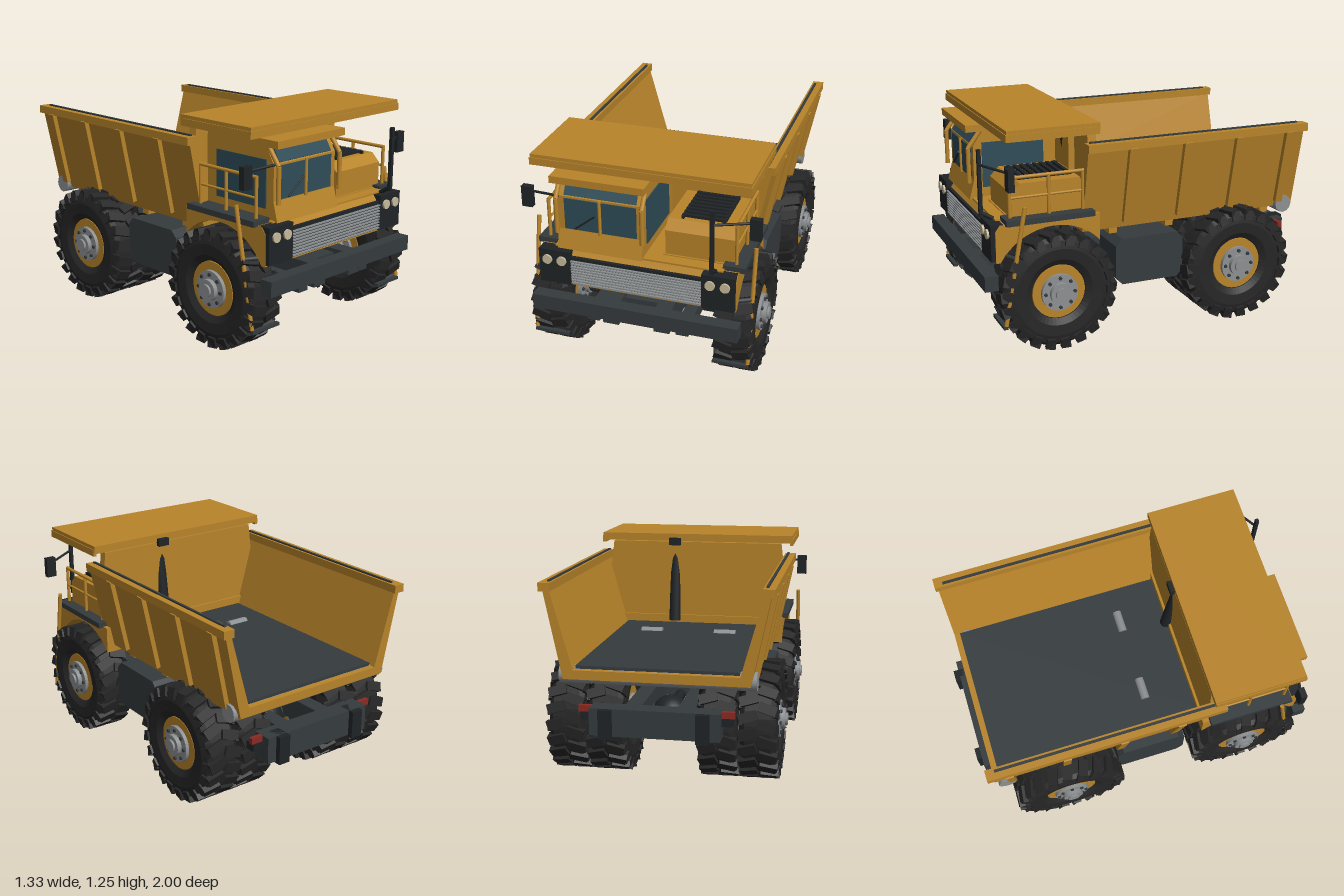
import * as THREE from 'three';
import { mergeGeometries } from 'three/addons/utils/BufferGeometryUtils.js';

const mat = (color, flatShading = false) => new THREE.MeshStandardMaterial({ color, flatShading });
const GOLD = mat(0xb8842a), DARK = mat(0x353b3e), BLACK = mat(0x202426), RUBBER = mat(0x262626, true),
  GLASS = mat(0x2f4c57), STEEL = mat(0x8d9092), LAMP = mat(0xc8bb9c), RED = mat(0x8a2a22);

export function createModel() {
  const root = new THREE.Group();
  const add = (name, geo, m, x = 0, y = 0, z = 0, parent = root) => {
    const mesh = new THREE.Mesh(geo, m);
    mesh.name = name;
    mesh.position.set(x, y, z);
    parent.add(mesh);
    return mesh;
  };
  // Box given by its limits on each axis
  const box = (name, m, x0, x1, y0, y1, z0, z1) =>
    add(name, new THREE.BoxGeometry(x1 - x0, y1 - y0, z1 - z0), m, (x0 + x1) / 2, (y0 + y1) / 2, (z0 + z1) / 2);
  // The same box on both sides
  const pair = (name, m, x0, x1, ...r) => { box(name, m, x0, x1, ...r); box(name, m, -x1, -x0, ...r); };
  // Round bar between two points
  const bar = (name, m, a, b, r, r2 = r) => {
    const p = new THREE.Vector3(...a), q = new THREE.Vector3(...b), d = q.clone().sub(p);
    const mesh = add(name, new THREE.CylinderGeometry(r2, r, d.length(), 12), m, ...p.clone().add(q).multiplyScalar(0.5));
    mesh.quaternion.setFromUnitVectors(new THREE.Vector3(0, 1, 0), d.normalize());
  };
  const outline = pts => new THREE.Shape(pts.map(p => new THREE.Vector2(...p)));
  // Side profile in [z, y] extruded from x0 to x1
  const profile = (name, m, shape, x0, x1) => {
    const geo = new THREE.ExtrudeGeometry(shape, { depth: x1 - x0, bevelEnabled: false, curveSegments: 20 });
    add(name, geo.rotateY(-Math.PI / 2), m, x1);
  };

  // Wheels: carcass, two staggered rows of slanted lugs, rim and hub
  const tyre = new THREE.LatheGeometry([[.155, .08], [.155, -.08], [.19, -.1], [.25, -.104], [.295, -.095], [.315, -.07],
    [.315, .07], [.295, .095], [.25, .104], [.19, .1], [.155, .08]].map(p => new THREE.Vector2(...p)), 48).rotateZ(-Math.PI / 2);
  const lugs = [];
  for (let i = 0; i < 22; i++) for (const s of [-1, 1]) {
    const a = (i + (s > 0 ? .5 : 0)) / 22 * Math.PI * 2;
    lugs.push(new THREE.BoxGeometry(.1, .034, .054).rotateY(s * .3).translate(s * .052, .315, 0).rotateX(a));
    lugs.push(new THREE.BoxGeometry(.016, .055, .05).rotateZ(s * .25).translate(s * .098, .295, -.018).rotateX(a));
  }
  const tread = mergeGeometries(lugs);
  const disc = (r, w, n = 32) => new THREE.CylinderGeometry(r, r, w, n).rotateZ(Math.PI / 2);
  const wheel = (x, z) => {
    const g = new THREE.Group();
    g.name = 'wheel';
    g.position.set(x, .337, z);
    root.add(g);
    add('tyre', tyre, RUBBER, 0, 0, 0, g);
    add('tread', tread, RUBBER, 0, 0, 0, g);
    add('rim', disc(.151, .16), GOLD, 0, 0, 0, g);
    add('hub', disc(.104, .2), STEEL, 0, 0, 0, g);
    add('hubFlange', disc(.06, .25), STEEL, 0, 0, 0, g);
    add('hubCap', disc(.035, .275), STEEL, 0, 0, 0, g);
    for (let i = 0; i < 8; i++) {
      const a = i * Math.PI / 4;
      add('wheelBolt', disc(.01, .22, 6), DARK, 0, Math.cos(a) * .084, Math.sin(a) * .084, g);
    }
  };
  for (const s of [-1, 1]) {
    wheel(s * .525, .595);
    wheel(s * .525, -.505);
    wheel(s * .307, -.505);
  }

  // Chassis
  pair('frameRail', DARK, .1, .19, .33, .46, -.94, .95);
  for (const z of [-.15, .2, .8]) box('crossMember', DARK, -.19, .19, .35, .44, z - .04, z + .04);
  box('frontBumper', DARK, -.58, .58, .385, .47, .925, 1);
  box('rearBeam', DARK, -.35, .35, .33, .48, -.97, -.86);
  pair('towLug', BLACK, .225, .295, .32, .48, -1, -.9);
  pair('tailLamp', RED, .35, .42, .445, .48, -.92, -.895);
  pair('tailLampBracket', BLACK, .34, .41, .4, .445, -.92, -.86);
  pair('axleMount', DARK, .22, .29, .32, .39, .5, .93);
  for (const z of [.595, -.505]) {
    bar('axle', DARK, [-.42, .337, z], [.42, .337, z], .05);
    add('differential', new THREE.SphereGeometry(.105, 20, 14), BLACK, 0, .335, z);
    bar('driveShaft', BLACK, [0, .36, z], [0, .36, .05], .03);
  }
  const tank = outline([[.19, .29], [.23, .33], [.23, .52], [.19, .56], [-.15, .56], [-.185, .52], [-.185, .33], [-.15, .29]]);
  for (const s of [-1, 1]) {
    profile('sideTank', DARK, tank, s * .42 - .12, s * .42 + .12);
    bar('suspensionStrut', STEEL, [s * .385, .34, .62], [s * .36, .58, .62], .022);
    bar('liftCylinder', GOLD, [s * .23, .36, -.01], [s * .23, .66, .085], .045);
    bar('liftPin', STEEL, [s * .16, .68, .06], [s * .29, .68, .06], .027);
  }
  pair('tankBracket', DARK, .15, .35, .38, .46, -.1, .14);

  // Dump bed: trough section, floor, rims and ribs
  const trough = outline([[-.5, .62], [.5, .62], [.6, 1.1], [.565, 1.1], [.445, .67], [-.445, .67], [-.565, 1.1], [-.6, 1.1]]);
  add('bedTrough', new THREE.ExtrudeGeometry(trough, { depth: 1.34, bevelEnabled: false }), GOLD, 0, 0, -.925);
  box('bedFloor', DARK, -.44, .44, .665, .688, -.89, .345);
  const lean = Math.atan2(.1, .48);
  for (const s of [-1, 1]) {
    box('bedRim', GOLD, s * .587 - .032, s * .587 + .032, 1.09, 1.135, -.94, .42);
    box('rimSeal', DARK, s * .575 - .007, s * .575 + .007, 1.13, 1.143, -.89, .4);
    for (const z of [.16, -.17, -.495, -.82])
      add('bedRib', new THREE.BoxGeometry(.045, .45, .045), GOLD, s * .558, .877, z).rotation.z = -s * lean;
  }
  for (const z of [.21, -.14, -.45, -.77]) box('bedCrossBeam', GOLD, -.45, .45, .57, .63, z - .025, z + .025);
  const head = outline([[-.5, .64], [.5, .64], [.56, .95], [.53, 1.2], [-.53, 1.2], [-.56, .95]]);
  add('bedHeadWall', new THREE.ExtrudeGeometry(head, { depth: .05, bevelEnabled: false }), GOLD, 0, 0, .345);
  box('canopy', GOLD, -.6, .6, 1.205, 1.25, .345, .865);
  box('canopyLip', GOLD, -.605, .605, 1.19, 1.23, .845, .87);
  pair('canopyEdge', GOLD, .585, .605, 1.19, 1.23, .35, .86);
  bar('rearTube', STEEL, [-.53, .635, -.855], [.53, .635, -.855], .052);
  bar('exhaustStack', BLACK, [.135, .7, .325], [.135, 1.2, .385], .036, .03);
  box('exhaustOutlet', BLACK, .1, .17, 1.18, 1.225, .32, .37);

  // Front body with wheel arches, deck and grille
  const body = new THREE.Shape();
  body.moveTo(.33, .58).lineTo(.33, .735).lineTo(.9, .735).lineTo(.925, .7).lineTo(.925, .525).lineTo(.9, .525);
  body.absarc(.595, .34, .357, .546, Math.PI - .74, false);
  profile('frontBody', GOLD, body, -.55, .55);
  pair('sideDeck', DARK, .46, .58, .73, .762, .37, .87);
  box('hoodDeck', GOLD, -.47, .47, .72, .745, .37, .9);
  box('grilleBack', BLACK, -.37, .37, .54, .705, .9, .94);
  for (let i = 0; i < 9; i++) box('grilleSlat', STEEL, -.365, .365, .547 + i * .0165, .555 + i * .0165, .935, .952);
  for (const s of [-1, 1]) {
    box('lampHousing', BLACK, s * .457 - .09, s * .457 + .09, .535, .737, .88, .95);
    for (const x of [.415, .497])
      add('headlamp', new THREE.CylinderGeometry(.027, .027, .02, 20).rotateX(Math.PI / 2), LAMP, s * x, .68, .952);
  }

  // Cab
  profile('cabShell', GOLD, outline([[.38, .735], [.915, .735], [.885, .845], [.885, 1.04], [.83, 1.13], [.38, 1.13]]), -.45, .03);
  box('cabRoof', GOLD, -.47, .055, 1.13, 1.17, .42, .93);
  for (const [a, b] of [[-.41, -.218], [-.2, -.005]]) box('windscreen', GLASS, a, b, .85, 1.03, .88, .89);
  add('upperWindscreen', new THREE.BoxGeometry(.405, .085, .01), GLASS, -.2075, 1.083, .861).rotation.x = -.55;
  for (const x of [-.45, .03]) {
    box('sideWindow', GLASS, x - .006, x + .006, .8, 1.06, .47, .835);
    bar('cabPillar', GOLD, [x + .005, .835, .915], [x + .005, 1.035, .915], .013);
    bar('cabPillar', GOLD, [x + .005, 1.035, .915], [x + .005, 1.135, .84], .013);
  }
  bar('windscreenPost', GOLD, [-.209, .84, .893], [-.209, 1.04, .893], .009);
  bar('wiper', BLACK, [-.35, .86, .9], [-.235, .95, .9], .005);

  // Engine box with vent slats and intake pipe
  profile('engineBox', GOLD, outline([[.42, .74], [.82, .74], [.82, .89], [.77, .94], [.43, .94], [.41, .9]]), .13, .51);
  box('engineBoxSill', GOLD, .12, .515, .735, .75, .4, .83);
  for (let i = 0; i < 8; i++) box('ventSlat', BLACK, .2, .44, .945, .96, .46 + i * .038, .48 + i * .038);
  for (const x of [.2, .425]) box('ventFrame', BLACK, x, x + .015, .94, .956, .45, .76);
  box('intakePipe', GOLD, .3, .34, .93, 1.15, .39, .43);
  box('frontPost', BLACK, .417, .438, .76, 1.125, .955, .975);
  bar('postBracket', BLACK, [.428, .78, .965], [.428, .74, .9], .012);

  // Mirrors, handrails and ladders on both sides
  for (const s of [-1, 1]) {
    box('mirror', BLACK, s * .63 - .03, s * .63 + .03, .94, 1.06, .845, .88);
    bar('mirrorArm', BLACK, [s * .61, 1.03, .86], [s * .435, 1.045, s > 0 ? .965 : .9], .007);
    for (const z of [.835, .615, .42]) bar('railPost', GOLD, [s * .525, .75, z], [s * .525, .98, z], .01);
    bar('handrail', GOLD, [s * .525, .98, .84], [s * .525, .98, .41], .01);
    bar('midRail', GOLD, [s * .525, .87, .84], [s * .525, .87, .41], .007);
    bar('ladderRail', GOLD, [s * .615, .84, .78], [s * .615, .19, .9], .012);
    box('ladderStep', DARK, s * .52 - .1, s * .52 + .1, .17, .187, .89, .915);
    bar('ladderBracket', DARK, [s * .615, .56, .83], [s * .52, .56, .88], .012);
  }
  return root;
}
